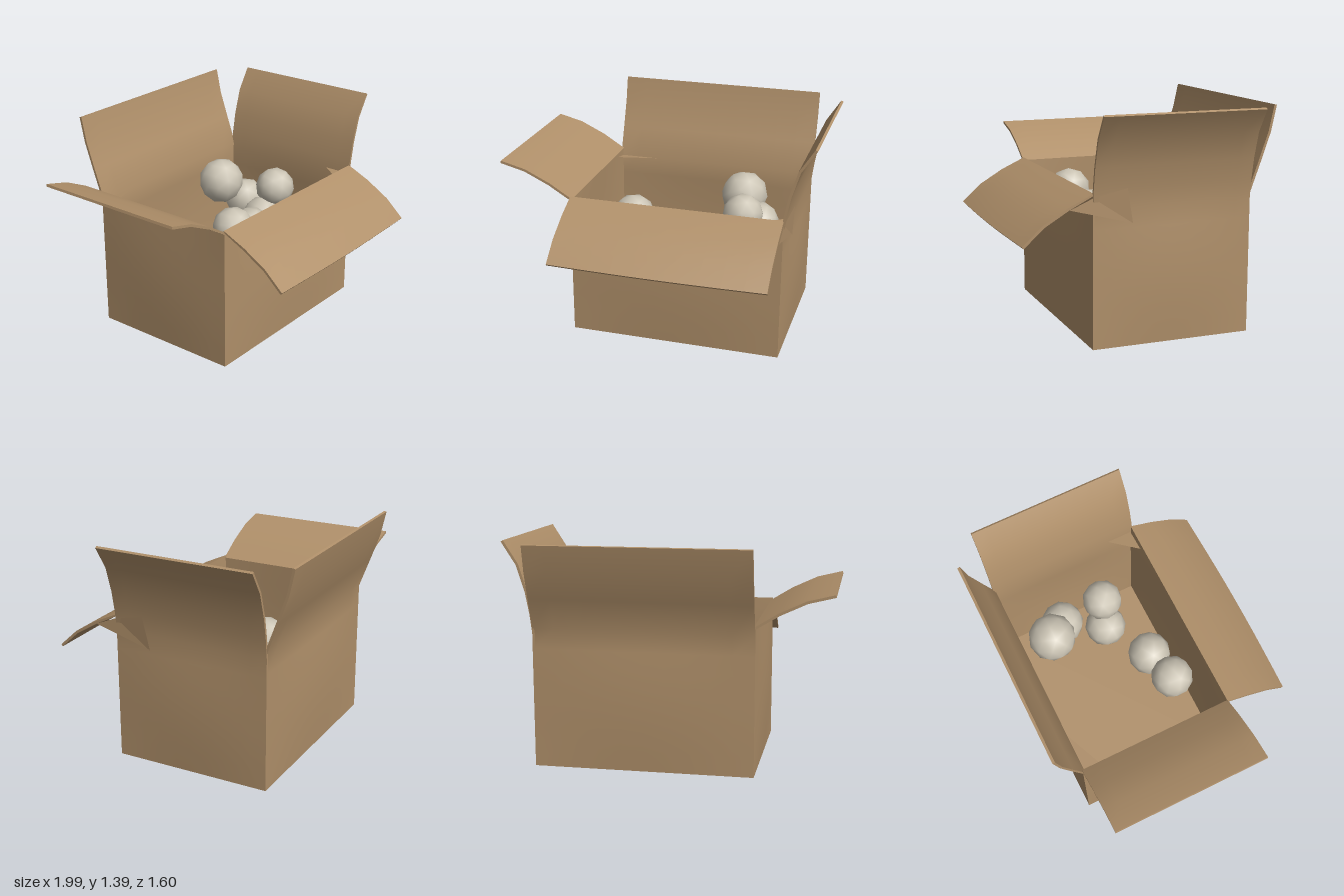
import * as THREE from 'three';
import { toCreasedNormals } from 'three/addons/utils/BufferGeometryUtils.js';

const card = new THREE.MeshStandardMaterial({ color: 0xb0906a, side: THREE.DoubleSide });
const ballPaint = new THREE.MeshStandardMaterial({ color: 0xcbc4b4 });
const CX = 0.135, CZ = -0.12, HX = 0.675, HZ = 0.5, RIM = 0.9, T = 0.016;

// Closed outline: the outer line plus the same line pushed inwards by the card thickness
function thickOutline(line) {
  const inner = line.map((p, i) => {
    const a = line[Math.max(i - 1, 0)], b = line[Math.min(i + 1, line.length - 1)];
    const d = b.clone().sub(a).normalize();
    return new THREE.Vector2(p.x - d.y * T, p.y + d.x * T);
  });
  return new THREE.Shape([...line, ...inner.reverse()]);
}

// One wall with its flap; flap points are [distance outwards, height]
function side(name, width, distance, angle, flap) {
  const top = flap[0][1];
  const line = [];
  for (let i = 0; i < 7; i++) line.push(new THREE.Vector2(0, top * i / 7));
  flap.forEach(([x, y]) => line.push(new THREE.Vector2(x, y)));
  const geo = new THREE.ExtrudeGeometry(thickOutline(line), { depth: width, steps: 10, bevelEnabled: false });
  geo.translate(0, 0, -width / 2);
  // Gentle outward bulge of the wall
  const p = geo.attributes.position;
  for (let i = 0; i < p.count; i++) {
    const y = p.getY(i);
    if (y > 0 && y < top) {
      const bulge = Math.sin(Math.PI * y / top) * Math.cos(Math.PI * p.getZ(i) / width);
      p.setX(i, p.getX(i) + 0.018 * bulge);
    }
  }
  geo.translate(distance, 0, 0);
  const mesh = new THREE.Mesh(toCreasedNormals(geo, 0.7), card);
  mesh.name = name;
  mesh.rotation.y = angle;
  mesh.position.set(CX, 0, CZ);
  return mesh;
}

// Thin triangular fold of card
function fold(name, corners) {
  const geo = new THREE.BufferGeometry();
  geo.setAttribute('position', new THREE.Float32BufferAttribute(corners.flat(), 3));
  geo.computeVertexNormals();
  const mesh = new THREE.Mesh(geo, card);
  mesh.name = name;
  return mesh;
}

export function createModel() {
  const group = new THREE.Group();
  group.name = 'openBoxWithBalls';

  // Walls and flaps
  group.add(
    side('leftWallAndFlap', 2 * HZ, HX, 0,
      [[0, 0.83], [0.015, 0.95], [0.04, 1.08], [0.09, 1.24], [0.18, 1.38]]),
    side('rightWallAndFlap', 2 * HZ, HX, Math.PI,
      [[0, RIM], [0.14, 0.985], [0.3, 1.06], [0.46, 1.1]]),
    side('frontWallAndFlap', 2 * HX, HZ, -Math.PI / 2,
      [[0, 0.91], [0.14, 0.84], [0.29, 0.75], [0.41, 0.64]]),
    side('backWallAndFlap', 2 * HX, HZ, Math.PI / 2,
      [[0, 0.86], [0.07, 1.05], [0.13, 1.22], [0.165, 1.38]]),
  );

  // Floor
  const floor = new THREE.Mesh(new THREE.BoxGeometry(2 * HX - 0.01, T, 2 * HZ - 0.01), card);
  floor.name = 'floor';
  floor.position.set(CX, T / 2, CZ);
  group.add(floor);

  // Crumpled folds at the corners
  group.add(
    fold('frontCornerWeb', [[0.815, 0.9, 0.38], [0.815, 0.84, 0.52], [0.82, 0.74, 0.14]]),
    fold('frontCornerCrease', [[0.815, 0.9, 0.38], [0.825, 0.74, 0.14], [0.84, 0.95, 0.18]]),
    fold('frontCornerGusset', [[0.8, 0.87, 0.2], [0.65, 0.89, 0.365], [0.8, 0.87, 0.365]]),
    fold('backCornerGusset', [[-0.53, 0.88, -0.5], [-0.53, 0.86, -0.61], [-0.26, 0.86, -0.61]]),
  );

  // Balls: x, y, z, radius
  [
    [0.4, 0.75, -0.4, 0.155], [0.52, 0.61, -0.28, 0.14], [0.38, 0.59, -0.03, 0.135],
    [0.48, 0.78, 0.0, 0.13], [0.05, 0.66, 0.13, 0.14], [-0.19, 0.76, 0.17, 0.135],
  ].forEach(([x, y, z, r], i) => {
    const ball = new THREE.Mesh(new THREE.IcosahedronGeometry(r, 1), ballPaint);
    ball.name = `ball${i + 1}`;
    ball.position.set(x, y, z);
    ball.rotation.set(i * 0.7, i * 1.3, i * 0.4);
    group.add(ball);
  });

  return group;
}
